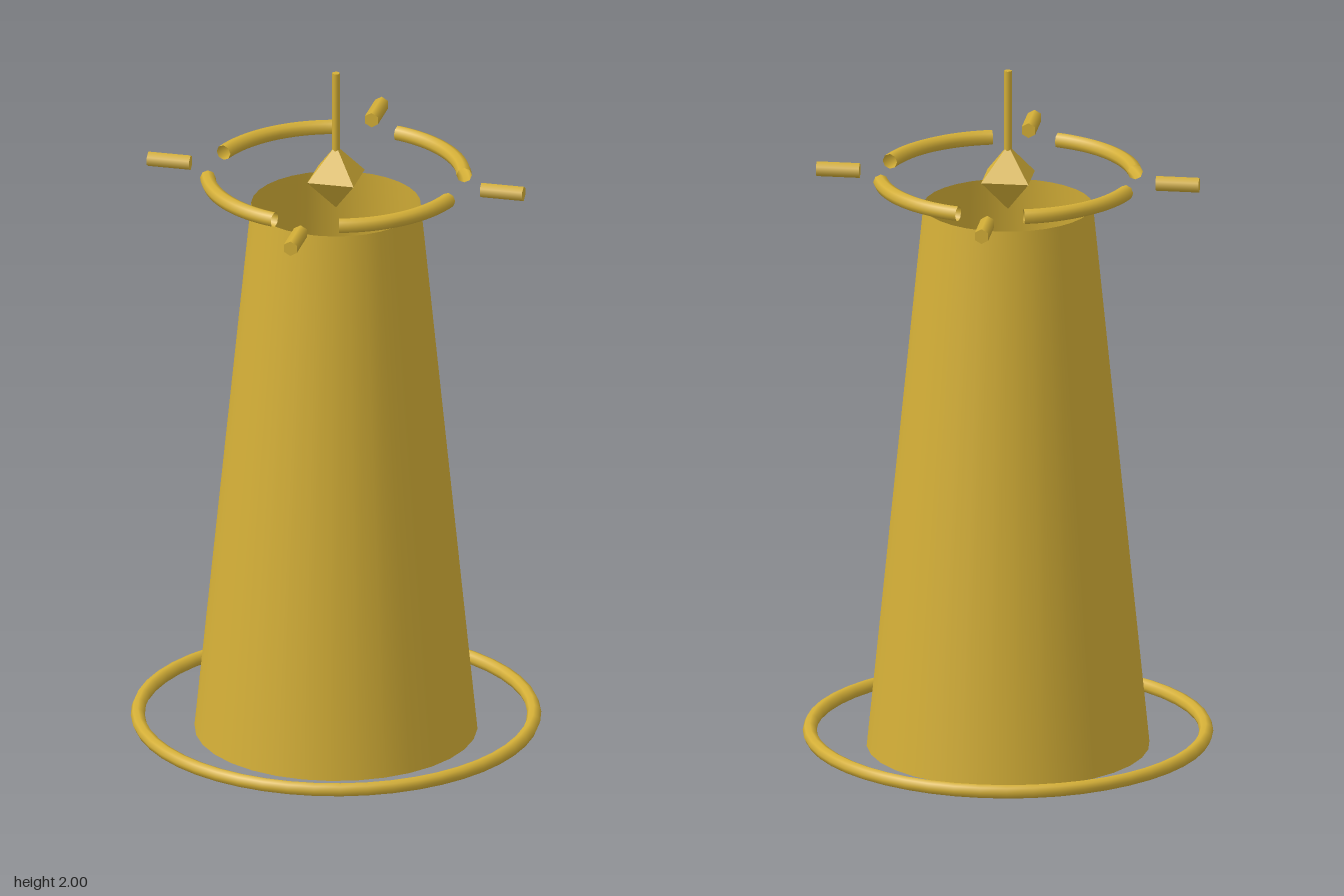
import * as THREE from 'three';

const gold = new THREE.MeshStandardMaterial({ color: 0xd4af37, side: THREE.DoubleSide });
const facetedGold = new THREE.MeshStandardMaterial({ color: 0xd4af37, flatShading: true });

export function createModel() {
  const model = new THREE.Group();
  const add = (name, geometry, y, material = gold) => {
    const mesh = new THREE.Mesh(geometry, material);
    mesh.name = name;
    mesh.position.y = y;
    model.add(mesh);
    return mesh;
  };

  // Tapered tube, open at both ends
  add('taperedBody', new THREE.CylinderGeometry(0.24, 0.4, 1.6, 32, 1, true), 0.8);

  // Thin ring around the foot
  add('baseRing', new THREE.TorusGeometry(0.56, 0.02, 8, 48).rotateX(Math.PI / 2), 0.04);

  // Floating crystal with a needle rising from it
  const crownY = 1.684;
  add('crystal', new THREE.OctahedronGeometry(0.095), crownY, facetedGold);
  add('needle', new THREE.CylinderGeometry(0.011, 0.011, 0.24, 8), 1.88);

  // Broken crown: four 60 degree arcs, with a short spoke outside each gap
  const arc = new THREE.TorusGeometry(0.362, 0.022, 8, 16, Math.PI / 3)
    .rotateZ(-Math.PI / 6).rotateX(Math.PI / 2);
  const spoke = new THREE.CylinderGeometry(0.022, 0.022, 0.123, 6)
    .rotateX(Math.PI / 2).translate(0, 0, 0.484);
  for (let i = 0; i < 4; i++) {
    add('crownArc', arc, crownY).rotation.y = i * Math.PI / 2;
    add('crownSpoke', spoke, crownY).rotation.y = (i + 0.5) * Math.PI / 2;
  }
  return model;
}
